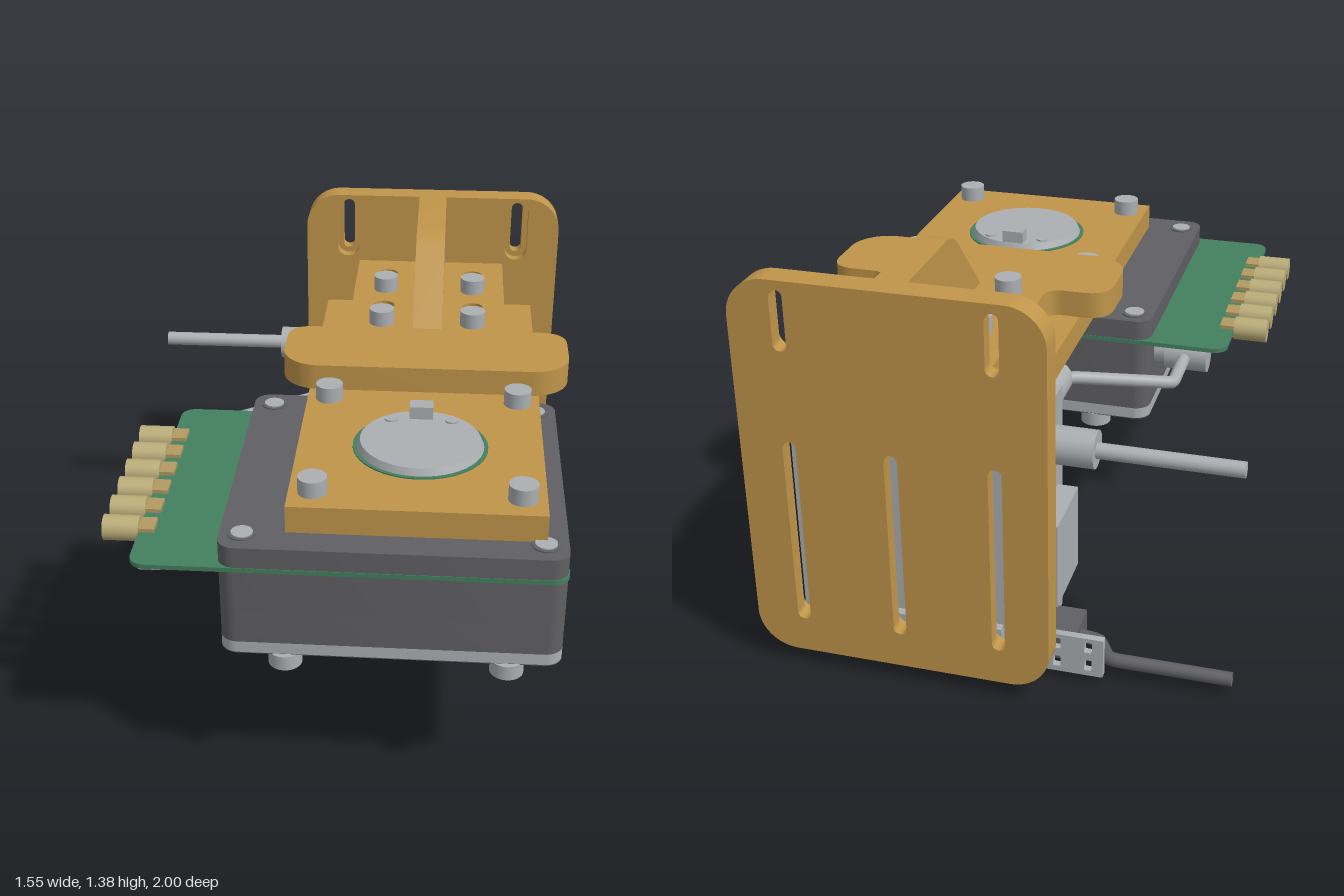
import * as THREE from 'three';
import { toCreasedNormals } from 'three/addons/utils/BufferGeometryUtils.js';

const mat = (name, color) => {
  const m = new THREE.MeshStandardMaterial({ color, side: THREE.DoubleSide });
  m.name = name;
  return m;
};

export function createModel() {
  const root = new THREE.Group();
  root.name = 'sensorBracketAssembly';
  const gold = mat('gold', 0xc0954a), grey = mat('lightGrey', 0xabafb2), dark = mat('darkGrey', 0x605f63);
  const green = mat('boardGreen', 0x43805f), brass = mat('brass', 0xbaac78), tan = mat('tan', 0xb49a62);

  const add = (name, geo, m) => {
    const mesh = new THREE.Mesh(geo, m);
    mesh.name = name;
    root.add(mesh);
    return mesh;
  };
  // Box from its limits on each axis
  const box = (name, m, x0, x1, y0, y1, z0, z1) =>
    add(name, new THREE.BoxGeometry(x1 - x0, y1 - y0, z1 - z0)
      .translate((x0 + x1) / 2, (y0 + y1) / 2, (z0 + z1) / 2), m);
  // Upright cylinder
  const post = (name, m, x, z, r, y0, y1, sides = 28, rTop = r) =>
    add(name, new THREE.CylinderGeometry(rTop, r, y1 - y0, sides).translate(x, (y0 + y1) / 2, z), m);
  // Cylinder lying along x
  const rod = (name, m, x0, x1, y, z, r) =>
    add(name, new THREE.CylinderGeometry(r, r, x1 - x0, 24).rotateZ(Math.PI / 2)
      .translate((x0 + x1) / 2, y, z), m);
  // Rounded rectangle traced on a Shape or Path
  const roundRect = (p, x0, x1, y0, y1, r) => {
    p.moveTo(x0 + r, y0);
    p.lineTo(x1 - r, y0); p.absarc(x1 - r, y0 + r, r, -Math.PI / 2, 0);
    p.lineTo(x1, y1 - r); p.absarc(x1 - r, y1 - r, r, 0, Math.PI / 2);
    p.lineTo(x0 + r, y1); p.absarc(x0 + r, y1 - r, r, Math.PI / 2, Math.PI);
    p.lineTo(x0, y0 + r); p.absarc(x0 + r, y0 + r, r, Math.PI, Math.PI * 1.5);
    return p;
  };
  const extrude = (shape, depth) =>
    toCreasedNormals(new THREE.ExtrudeGeometry(shape, { depth, bevelEnabled: false, curveSegments: 10 }), 0.6);
  // Horizontal slab whose outline is drawn in x and z
  const slab = (name, m, shape, y0, y1) =>
    add(name, extrude(shape, y1 - y0).rotateX(Math.PI / 2).translate(0, y1, 0), m);
  // Tube through straight segments
  const cable = (name, m, r, pts) => {
    const path = new THREE.CurvePath();
    const v = pts.map(p => new THREE.Vector3(...p));
    path.add(new THREE.CatmullRomCurve3(v, false, 'catmullrom', 0.1));
    return add(name, new THREE.TubeGeometry(path, 40, r, 14, false), m);
  };

  // Back plate: narrow slots behind, wide counterbores in front
  for (const [z, depth, w] of [[-1, 0.05, 0.022], [-0.95, 0.04, 0.043]]) {
    const s = roundRect(new THREE.Shape(), -0.22, 0.775, 0.055, 1.38, 0.13);
    for (const [x, y0, y1] of [[-0.055, 1.15, 1.35], [0.61, 1.15, 1.35],
      [-0.055, 0.18, 0.84], [0.277, 0.18, 0.84], [0.61, 0.18, 0.84]]) {
      const e = w - 0.022;
      s.holes.push(roundRect(new THREE.Path(), x - w, x + w, y0 - e, y1 + e, w - 0.001));
    }
    add('backPlate', extrude(s, depth).translate(0, 0, z), gold);
  }

  // T-shaped arm with screw holes
  const arm = new THREE.Shape();
  arm.moveTo(-0.01, -0.91);
  arm.lineTo(0.56, -0.91);
  arm.lineTo(0.56, -0.3);
  arm.quadraticCurveTo(0.56, -0.245, 0.62, -0.245);
  arm.lineTo(0.685, -0.245);
  arm.quadraticCurveTo(0.775, -0.245, 0.775, -0.155);
  arm.lineTo(0.775, -0.045);
  arm.absarc(0.645, -0.045, 0.13, 0, Math.PI / 2);
  arm.lineTo(-0.09, 0.085);
  arm.absarc(-0.09, -0.045, 0.13, Math.PI / 2, Math.PI);
  arm.lineTo(-0.22, -0.155);
  arm.quadraticCurveTo(-0.22, -0.245, -0.13, -0.245);
  arm.lineTo(-0.07, -0.245);
  arm.quadraticCurveTo(-0.01, -0.245, -0.01, -0.3);
  for (const x of [0.11, 0.44]) for (const z of [-0.78, -0.46]) {
    arm.holes.push(new THREE.Path().absarc(x, z, 0.039, 0, Math.PI * 2, true));
  }
  slab('arm', gold, arm, 1.02, 1.11);

  // Sloping stiffening rib; outline in -z and y
  const rib = new THREE.Shape();
  rib.moveTo(0.25, 1.11);
  rib.lineTo(0.46, 1.33);
  rib.quadraticCurveTo(0.51, 1.38, 0.57, 1.38);
  rib.lineTo(0.91, 1.38);
  rib.lineTo(0.91, 1.11);
  add('rib', extrude(rib, 0.105).rotateY(Math.PI / 2).translate(0.225, 0, 0), gold);

  // Mounting plate and its fasteners
  box('mountingPlate', gold, -0.12, 0.67, 0.93, 1.02, -0.71, 0.885);
  for (const x of [0.11, 0.44]) for (const z of [-0.62, -0.3]) {
    post('armBolt', grey, x, z, 0.045, 1.11, 1.165);
    post('armNut', grey, x, z, 0.05, 0.89, 0.93, 6);
  }
  for (const x of [-0.045, 0.595]) for (const z of [0.15, 0.79]) {
    post('plateBolt', grey, x, z, 0.046, 1.02, 1.075);
  }

  // Round sensor cap
  post('capRing', green, 0.275, 0.475, 0.218, 1.02, 1.024, 48);
  post('cap', grey, 0.275, 0.475, 0.207, 1.02, 1.047, 48, 0.195);
  box('capKey', grey, 0.235, 0.312, 1.045, 1.09, 0.285, 0.34);
  for (const x of [0.175, 0.375]) post('capPin', grey, x, 0.345, 0.022, 1.045, 1.052);

  // Front housing with a tapered recess in its underside
  const outline = () => roundRect(new THREE.Shape(), -0.32, 0.735, -0.04, 0.985, 0.055);
  const withRecess = () => {
    const s = outline();
    s.holes.push(new THREE.Path([[-0.05, 0.19], [0.57, 0.19], [0.57, 0.75], [-0.05, 0.75]]
      .map(p => new THREE.Vector2(...p))));
    return s;
  };
  slab('housingTop', dark, outline(), 0.7, 0.93);
  slab('housingLower', dark, withRecess(), 0.59, 0.7);
  slab('housingBase', grey, withRecess(), 0.551, 0.59);
  slab('housingUnderside', dark, withRecess(), 0.548, 0.551);
  const horn = new THREE.CylinderGeometry(0.2, 0.5, 0.145, 4, 1, true).rotateY(Math.PI / 4);
  const k = Math.SQRT2 / 2;
  add('recessWalls', horn.toNonIndexed().scale(0.62 * k * Math.SQRT2, 1, 0.56 * k * Math.SQRT2)
    .scale(Math.SQRT2, 1, Math.SQRT2).translate(0.26, 0.623, 0.47), grey).geometry.computeVertexNormals();
  box('recessPanel', dark, 0.13, 0.39, 0.685, 0.695, 0.35, 0.59);
  for (const x of [-0.25, 0.665]) for (const z of [0.035, 0.9]) {
    post('housingScrewRim', dark, x, z, 0.045, 0.93, 0.934);
    post('housingScrew', grey, x, z, 0.034, 0.93, 0.938);
  }
  for (const x of [-0.12, 0.567]) for (const z of [0.01, 0.95]) {
    post('foot', grey, x, z, 0.053, 0.5, 0.55);
  }

  // Circuit board and its row of coaxial connectors
  slab('circuitBoard', green, roundRect(new THREE.Shape(), -0.59, 0.738, -0.042, 0.987, 0.05), 0.845, 0.86);
  for (let i = 0; i < 6; i++) {
    const z = 0.17 + i * 0.12;
    rod('coaxBarrel', brass, -0.705, -0.59, 0.853, z, 0.041);
    box('coaxBase', tan, -0.59, -0.54, 0.83, 0.873, z - 0.036, z + 0.036);
  }
  box('boardStandoff', grey, -0.57, -0.5, 0.805, 0.845, 0.86, 0.93);

  // Link cable between housing and rear unit
  rod('linkPlug', grey, -0.51, -0.36, 0.768, 0.1, 0.063);
  rod('linkPlugNeck', grey, -0.36, -0.31, 0.775, 0.1, 0.05);
  cable('linkCable', grey, 0.022, [[-0.43, 0.768, 0.1], [-0.43, 0.768, -0.13], [-0.42, 0.77, -0.155],
    [-0.12, 0.81, -0.28], [-0.05, 0.812, -0.32]]);
  add('rearPlug', new THREE.CylinderGeometry(0.063, 0.063, 0.145, 24).rotateX(Math.PI / 2)
    .translate(-0.05, 0.812, -0.37), grey);
  box('rearPlugNeck', grey, -0.09, -0.01, 0.77, 0.86, -0.48, -0.44);
  box('plateClip', grey, 0.23, 0.32, 0.87, 0.93, -0.45, -0.36);

  // Rear unit
  box('rearUnit', grey, -0.125, 0.67, 0.02, 0.88, -0.865, -0.48);
  box('rearUnitBoard', green, -0.06, 0.61, 0.014, 0.02, -0.82, -0.52);
  box('rearUnitChip', grey, 0.2, 0.29, 0.006, 0.014, -0.71, -0.63);
  for (const x of [-0.09, 0.64]) for (const z of [-0.83, -0.515]) {
    post('rearUnitScrew', grey, x, z, 0.018, 0.012, 0.02, 16);
  }
  box('rearUnitStub', grey, -0.03, 0.58, 0.105, 0.18, -0.895, -0.865);
  box('sideBlock', grey, -0.195, -0.125, 0.235, 0.54, -0.8, -0.54);
  rod('sidePlug', grey, -0.31, -0.16, 0.812, -0.75, 0.062);
  rod('sidePlugNeck', grey, -0.16, -0.12, 0.812, -0.75, 0.045);
  rod('sideCable', grey, -0.775, -0.3, 0.812, -0.755, 0.026);

  // Perforated tab and power lead
  const tab = roundRect(new THREE.Shape(), -0.36, -0.12, 0.02, 0.165, 0.004);
  for (const x of [-0.31, -0.205]) for (const y of [0.06, 0.13]) {
    tab.holes.push(roundRect(new THREE.Path(), x - 0.013, x + 0.013, y - 0.02, y + 0.02, 0.004));
  }
  add('perforatedTab', extrude(tab, 0.025).translate(0, 0, -0.85), grey);
  box('powerPlug', dark, -0.245, -0.1, 0, 0.1, -0.76, -0.605);
  cable('powerLead', dark, 0.024, [[-0.775, 0.053, -0.79], [-0.39, 0.053, -0.79], [-0.36, 0.053, -0.78],
    [-0.31, 0.053, -0.7], [-0.24, 0.053, -0.69]]);

  return root;
}
